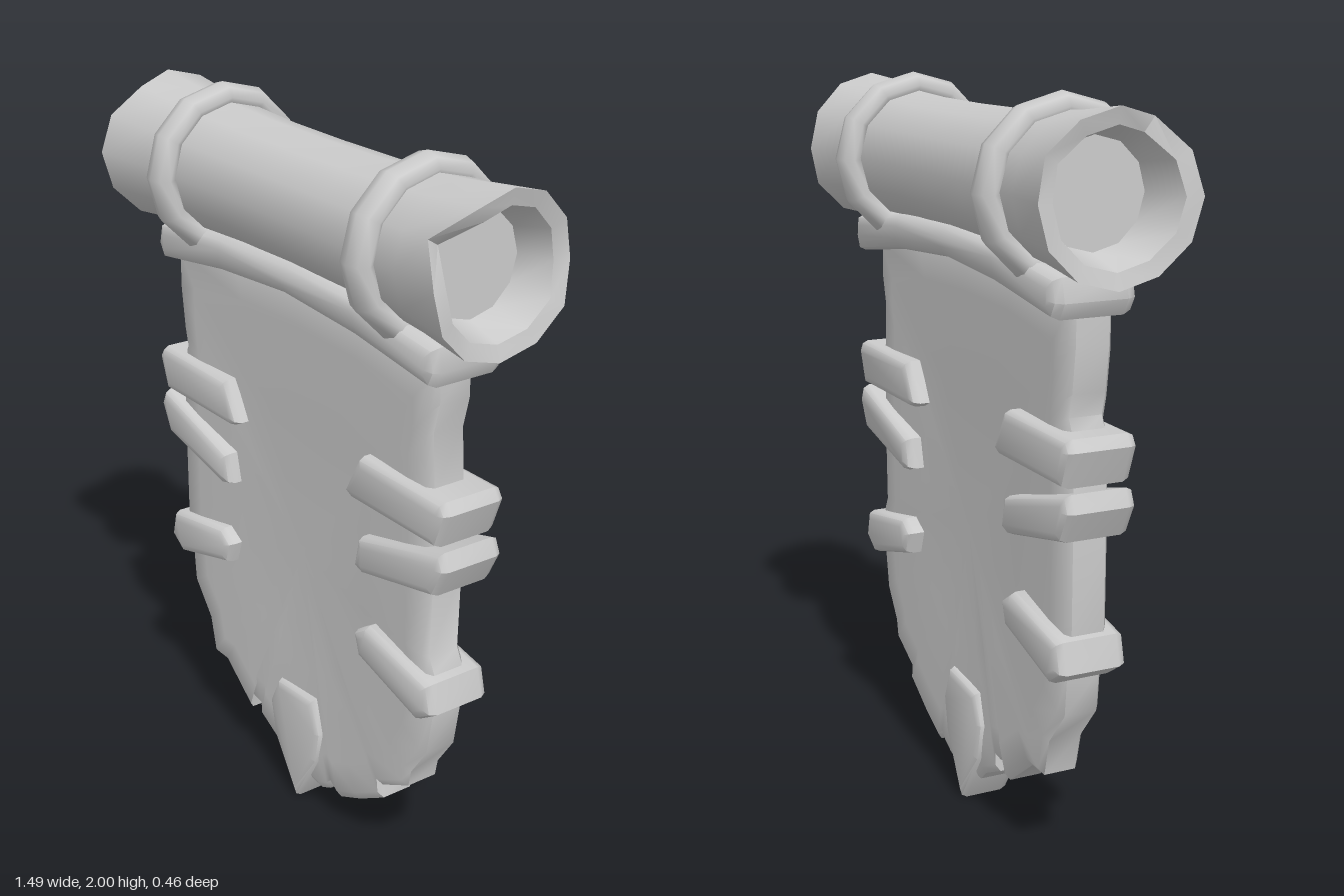
import * as THREE from 'three';
import { toCreasedNormals } from 'three/addons/utils/BufferGeometryUtils.js';

const material = new THREE.MeshStandardMaterial({ color: 0xcccccc, side: THREE.DoubleSide });

function add(parent, name, geometry) {
  const mesh = new THREE.Mesh(geometry, material);
  mesh.name = name;
  parent.add(mesh);
  return mesh;
}

// Bevelled plate cut from an outline, spanning zBack..zFront
function plate(points, zBack, zFront, bevel) {
  const shape = new THREE.Shape(points.map(([x, y]) => new THREE.Vector2(x, y)));
  const geometry = new THREE.ExtrudeGeometry(shape, {
    depth: zFront - zBack - 2 * bevel,
    bevelThickness: bevel, bevelSize: bevel, bevelOffset: -bevel, bevelSegments: 2,
  });
  geometry.translate(0, 0, zBack + bevel);
  return toCreasedNormals(geometry, 0.8);
}

// Ragged hanging panel: the outline repeated in shrinking loops, slightly dished on both faces
function panelGeometry() {
  const outline = [
    [-0.59, 1.53], [-0.59, 1.42], [-0.575, 1.3], [-0.56, 1.24], [-0.585, 1.19], [-0.59, 0.95],
    [-0.59, 0.7], [-0.57, 0.58], [-0.56, 0.47], [-0.48, 0.37], [-0.455, 0.265], [-0.39, 0.265],
    [-0.26, 0.165], [-0.255, 0.21], [-0.2, 0.2], [-0.2, 0.165], [-0.11, 0.12], [-0.08, 0.09],
    [0.1, 0.08], [0.14, 0.1], [0.16, 0.12], [0.19, 0.1], [0.28, 0.145], [0.385, 0.21], [0.38, 0.25],
    [0.49, 0.31], [0.5, 0.36], [0.56, 0.45], [0.585, 0.6], [0.58, 0.7], [0.56, 0.74], [0.565, 0.95],
    [0.56, 1.2], [0.55, 1.35], [0.57, 1.43], [0.57, 1.53], [0.3, 1.57], [0, 1.58], [-0.3, 1.57],
  ];
  const loops = [
    [0, 0.055], [0.5, 0.058], [0.85, 0.07], [0.97, 0.068], [1, 0.055],
    [1, -0.035], [0.97, -0.048], [0.85, -0.05], [0.5, -0.038], [0, -0.035],
  ];
  const n = outline.length, positions = [], index = [];
  for (const [s, z] of loops)
    for (const [x, y] of outline) positions.push(x * s, 0.8 + (y - 0.8) * s, z);
  for (let k = 0; k < loops.length - 1; k++) {
    for (let i = 0; i < n; i++) {
      const j = (i + 1) % n;
      const a = k * n + i, b = k * n + j, c = a + n, d = b + n;
      if (k > 0) index.push(a, d, b);
      if (k < loops.length - 2) index.push(a, c, d);
      else index.pop(), index.pop(), index.pop(), index.push(a, c, b);
    }
  }
  const geometry = new THREE.BufferGeometry();
  geometry.setAttribute('position', new THREE.Float32BufferAttribute(positions, 3));
  geometry.setIndex(index);
  return toCreasedNormals(geometry, 0.8);
}

// Log along x with hollow, splintered ends
function logGeometry() {
  const half = [[0.166, 0], [0.168, 0.22], [0.176, 0.4], [0.187, 0.55], [0.207, 0.72],
    [0.165, 0.71], [0.135, 0.6], [0, 0.6]];
  const profile = [
    ...half.slice(1).reverse().map(([r, x]) => new THREE.Vector2(r, -x)),
    ...half.map(([r, x]) => new THREE.Vector2(r, x)),
  ];
  const geometry = new THREE.LatheGeometry(profile, 12);
  geometry.rotateZ(-Math.PI / 2);
  // Splinter lengths around each rim, from the front over the top
  const left = [0.025, 0.01, -0.03, 0, 0, -0.02, 0, 0, 0, 0.005, 0.005, 0.02];
  const right = [0, -0.06, 0.02, 0.015, 0, -0.01, -0.02, 0, -0.005, -0.01, -0.01, 0];
  const p = geometry.attributes.position;
  for (let i = 0; i < p.count; i++) {
    const x = p.getX(i);
    if (Math.abs(x) < 0.68) continue;
    const k = (Math.round(Math.atan2(p.getY(i), p.getZ(i)) / (Math.PI / 6)) + 12) % 12;
    p.setX(i, x + (x > 0 ? right[k] : -left[k]));
  }
  return toCreasedNormals(geometry, 0.8);
}

export function createModel() {
  const model = new THREE.Group();
  model.name = 'hangingBanner';

  // Log and the two rings around it
  add(model, 'log', logGeometry()).position.y = 1.775;
  for (const [name, x] of [['rightRing', -0.44], ['leftRing', 0.43]]) {
    const geometry = new THREE.TorusGeometry(0.197, 0.035, 8, 12);
    geometry.scale(1, 1, 1.4);
    geometry.rotateY(Math.PI / 2);
    add(model, name, geometry).position.set(x, 1.768, 0);
  }

  // Curved rail under the log
  add(model, 'rail', plate([
    [-0.6, 1.488], [-0.3, 1.53], [0, 1.55], [0.3, 1.53], [0.59, 1.488], [0.61, 1.53], [0.6, 1.59],
    [0.3, 1.625], [0, 1.635], [-0.3, 1.625], [-0.61, 1.59], [-0.625, 1.53],
  ], -0.115, 0.115, 0.03));

  add(model, 'panel', panelGeometry());

  // Three straps wrapped over each side edge
  const straps = [
    [[0.655, 1.18], [0.635, 1.21], [0.31, 1.21], [0.25, 1.1], [0.28, 1.085], [0.62, 1.085]],
    [[0.655, 1.03], [0.635, 1.075], [0.31, 0.985], [0.292, 0.9], [0.33, 0.888], [0.615, 0.95]],
    [[0.625, 0.61], [0.605, 0.69], [0.345, 0.738], [0.295, 0.705], [0.315, 0.64], [0.565, 0.57]],
  ];
  straps.forEach((points, i) => {
    add(model, `leftStrap${i + 1}`, plate(points, -0.092, 0.105, 0.025));
    const mirrored = points.map(([x, y]) => [-x - 0.003, y]).reverse();
    add(model, `rightStrap${i + 1}`, plate(mirrored, -0.092, 0.105, 0.025));
  });

  // Pointed fang at the bottom
  add(model, 'fang', plate([
    [0, 0], [0.1, 0.17], [0.118, 0.27], [0.08, 0.37], [-0.09, 0.355], [-0.13, 0.27], [-0.108, 0.16],
  ], -0.065, 0.085, 0.022));

  return model;
}
